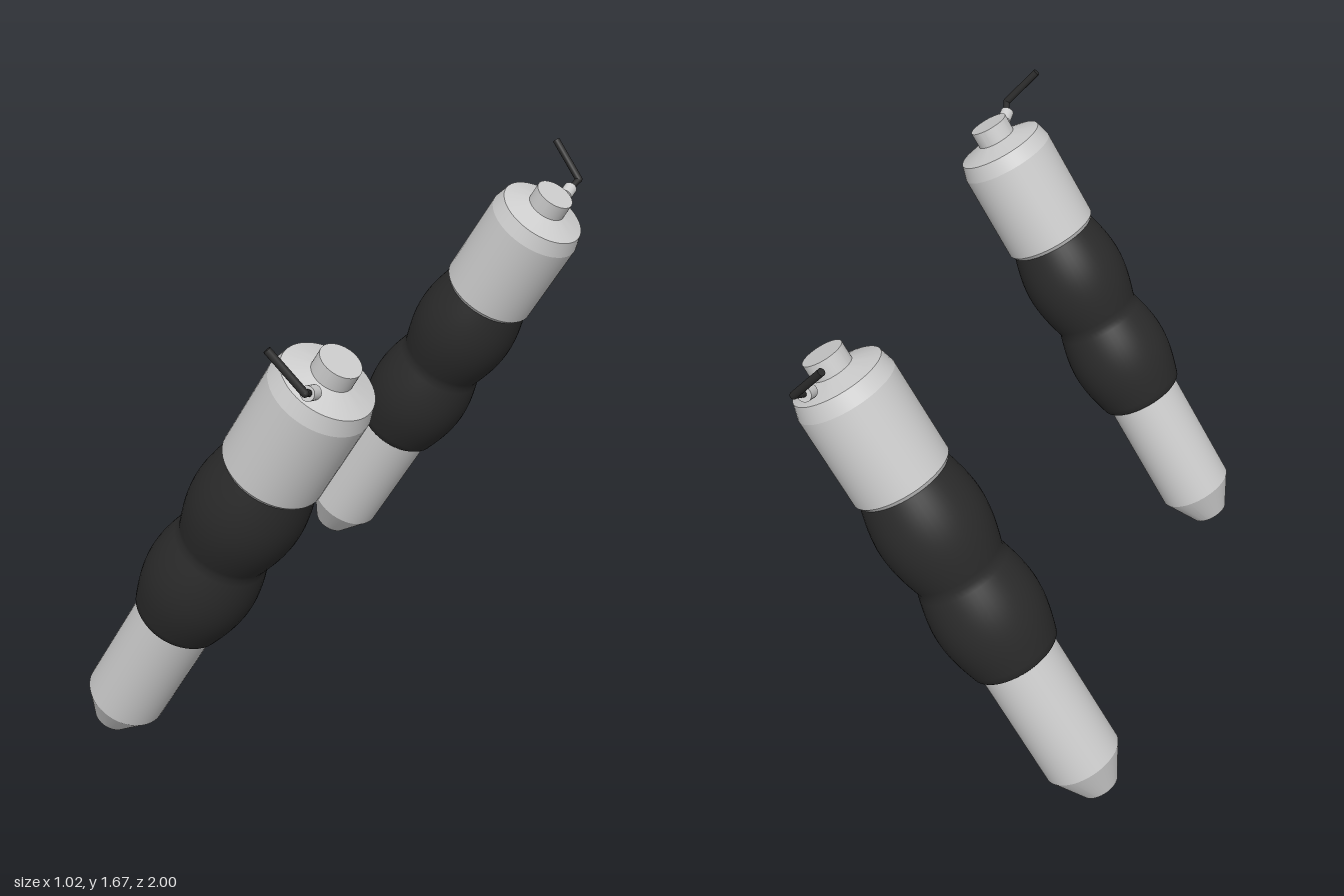
import * as THREE from 'three';
import { toCreasedNormals } from 'three/addons/utils/BufferGeometryUtils.js';

const steel = new THREE.MeshStandardMaterial({ color: 0xcccccc });
steel.name = 'light grey metal';
const rubber = new THREE.MeshStandardMaterial({ color: 0x2a2a2a });
rubber.name = 'black rubber';

// Turned part from [radius, height] pairs, listed bottom to top
function turned(name, profile, material, crease = 0.22) {
  const points = profile.map(([r, y]) => new THREE.Vector2(r, y));
  const mesh = new THREE.Mesh(toCreasedNormals(new THREE.LatheGeometry(points, 48), crease), material);
  mesh.name = name;
  return mesh;
}

// Round bar between two points
function bar(name, a, b, radius, material, sides = 12) {
  const dir = b.clone().sub(a);
  const mesh = new THREE.Mesh(new THREE.CylinderGeometry(radius, radius, dir.length(), sides), material);
  mesh.position.copy(a).add(b).multiplyScalar(0.5);
  mesh.quaternion.setFromUnitVectors(new THREE.Vector3(0, 1, 0), dir.normalize());
  mesh.name = name;
  return mesh;
}

// Two-bulge rubber boot profile
function bootProfile() {
  const y0 = 0.575, y1 = 1.285, steps = 32;
  const profile = [[0.12, y0], [0.148, y0]];
  for (let i = 0; i <= steps; i++) {
    const t = i / steps;
    const r = 0.153 + 0.031 * Math.abs(Math.sin(t * Math.PI * 2));
    profile.push([r, y0 + 0.006 + t * (y1 - y0 - 0.006)]);
  }
  profile.push([0.12, y1]);
  return profile;
}

function createStrut(side) {
  const strut = new THREE.Group();
  strut.name = side > 0 ? 'frontStrut' : 'backStrut';

  // Leaning body
  const body = new THREE.Group();
  body.name = 'strutBody';
  body.position.set(-0.457, 0.037, side * 0.755);
  body.rotation.z = -Math.PI / 6;
  body.add(
    turned('taperedFoot', [[0, 0], [0.066, 0], [0.134, 0.126]], steel),
    turned('lowerTube', [[0.134, 0.126], [0.134, 0.6]], steel),
    turned('rubberBoot', bootProfile(), rubber, 0.75),
    turned('upperHousing', [[0.12, 1.279], [0.156, 1.279], [0.167, 1.294], [0.167, 1.615],
      [0.152, 1.668], [0.06, 1.698], [0, 1.698]], steel),
    turned('topKnob', [[0.068, 1.685], [0.068, 1.753], [0, 1.753]], steel)
  );

  // Valve and bent lever on the outer side
  const at = (x, y, z) => new THREE.Vector3(x, y, side * z);
  const elbow = at(0.42, 1.543, 0.962);
  const joint = new THREE.Mesh(new THREE.SphereGeometry(0.0125, 12, 8), rubber);
  joint.position.copy(elbow);
  joint.name = 'leverElbow';
  strut.add(
    body,
    bar('valveStem', at(0.405, 1.508, 0.882), at(0.406, 1.522, 0.924), 0.023, steel, 24),
    bar('leverArm', at(0.406, 1.518, 0.91), elbow, 0.011, rubber),
    bar('leverHandle', elbow, at(0.316, 1.662, 0.988), 0.0125, rubber),
    joint
  );
  return strut;
}

export function createModel() {
  const model = new THREE.Group();
  model.name = 'strutPair';
  for (const side of [1, -1]) model.add(createStrut(side));
  return model;
}
